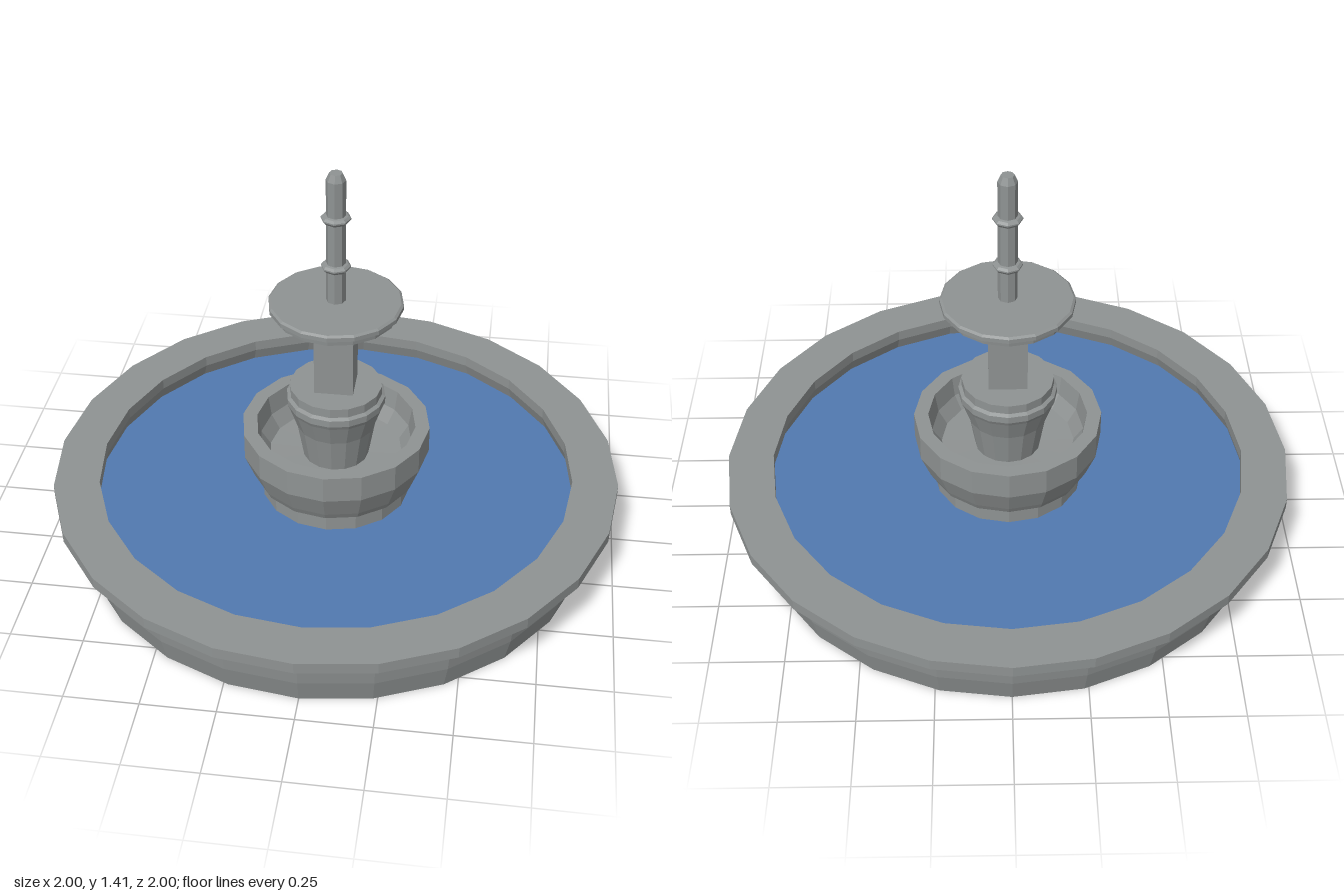
import * as THREE from 'three';

export function createModel() {
  const model = new THREE.Group();
  model.name = 'fountain';
  const stone = new THREE.MeshStandardMaterial({ color: 0x8f9393, flatShading: true, side: THREE.DoubleSide });
  stone.name = 'stone';
  const waterBlue = new THREE.MeshStandardMaterial({ color: 0x5179b0, side: THREE.DoubleSide });
  waterBlue.name = 'waterBlue';

  const add = (name, geometry, material, y = 0) => {
    const mesh = new THREE.Mesh(geometry, material);
    mesh.name = name;
    mesh.position.y = y;
    model.add(mesh);
  };
  // Turned part from [radius, height] pairs, listed upward along the outside
  const turned = (name, sides, profile) =>
    add(name, new THREE.LatheGeometry(profile.map(([r, y]) => new THREE.Vector2(r, y)), sides), stone);

  // Large pool wall with overhanging flat rim
  turned('poolBasin', 24, [
    [0.91, 0], [0.932, 0.09], [0.945, 0.205], [1, 0.205], [1, 0.245],
    [0.84, 0.245], [0.84, 0.205], [0.91, 0],
  ]);

  // Water surface
  add('water', new THREE.CircleGeometry(0.862, 24).rotateX(-Math.PI / 2), waterBlue, 0.157);

  // Hollow middle bowl on a short foot
  turned('bowl', 16, [
    [0.255, 0.15], [0.265, 0.15], [0.265, 0.21], [0.285, 0.225], [0.297, 0.25], [0.33, 0.335],
    [0.33, 0.432], [0.28, 0.432], [0.268, 0.36], [0.235, 0.31], [0, 0.3],
  ]);

  // Flared pedestal with collar
  turned('pedestal', 16, [
    [0.115, 0.3], [0.138, 0.435], [0.165, 0.515], [0.172, 0.53], [0.172, 0.555],
    [0.16, 0.562], [0.16, 0.595], [0, 0.595],
  ]);

  // Square column
  add('column', new THREE.BoxGeometry(0.134, 0.285, 0.134), stone, 0.735);

  // Thin round plate above the column
  turned('plate', 16, [
    [0, 0.89], [0.21, 0.89], [0.212, 0.91], [0.228, 0.915], [0.228, 0.93], [0.22, 0.936], [0, 0.936],
  ]);

  // Spire with a blunt tip
  turned('spire', 8, [[0.033, 0.93], [0.033, 1.385], [0.022, 1.41], [0, 1.41]]);

  // Two collars around the spire
  for (const y of [1.066, 1.245]) {
    turned('spireCollar', 8, [
      [0.033, y - 0.014], [0.042, y - 0.01], [0.05, y], [0.05, y + 0.005], [0.042, y + 0.012], [0.033, y + 0.014],
    ]);
  }

  return model;
}
